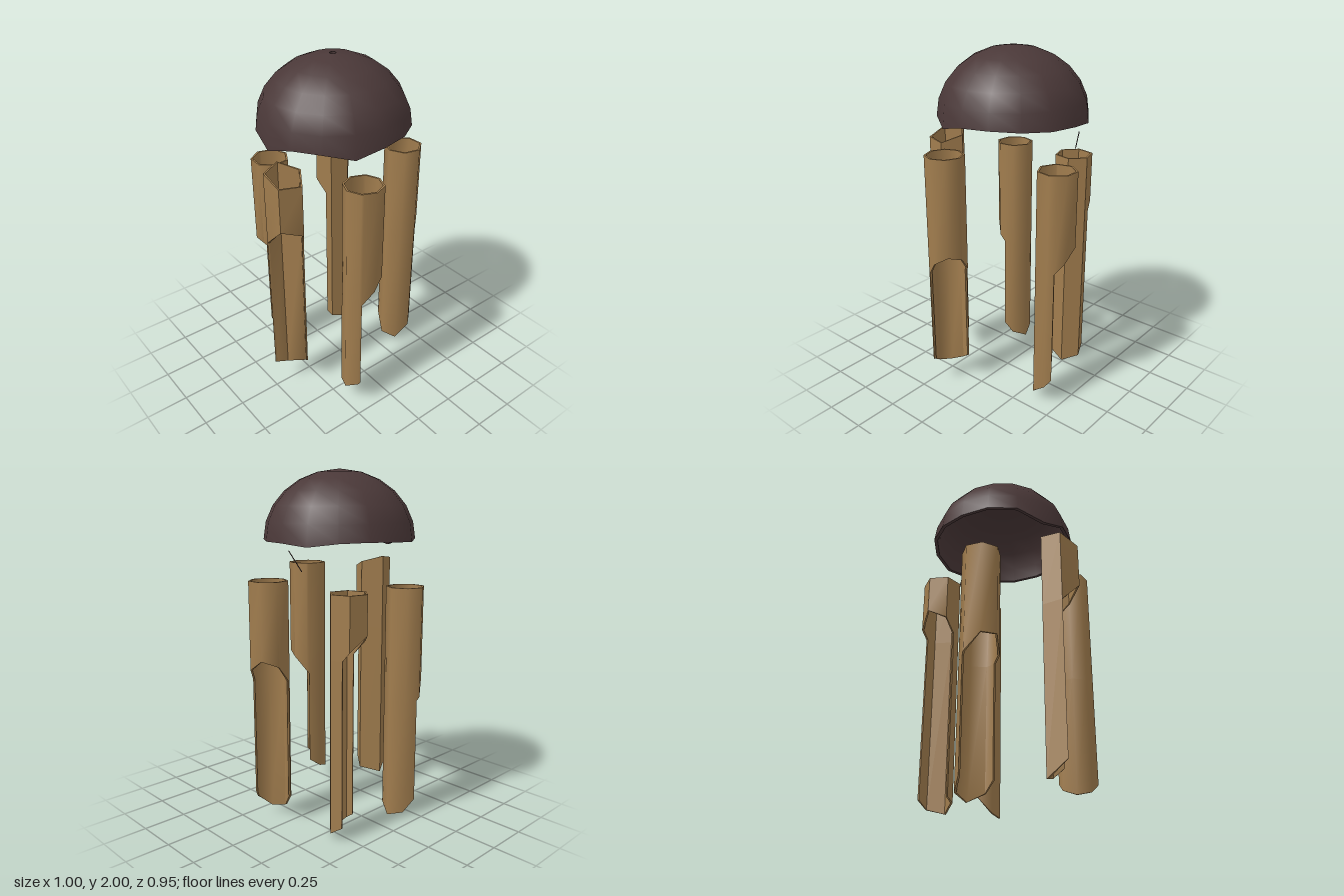
import * as THREE from 'three';
import { toCreasedNormals } from 'three/addons/utils/BufferGeometryUtils.js';

const RAD = Math.PI / 180;

// Thin curved wall through a row of points { o, i, top, bot }: o and i are outer and inner [x, z]
function addWall(out, pts, closed, topRim, bottomRim) {
  const quad = (a, b, c, d) => out.push(...a, ...b, ...c, ...a, ...c, ...d);
  const at = (p, side, end) => [p[side][0], p[end], p[side][1]];
  const count = closed ? pts.length : pts.length - 1;
  for (let k = 0; k < count; k++) {
    const p = pts[k], q = pts[(k + 1) % pts.length];
    quad(at(q, 'o', 'bot'), at(p, 'o', 'bot'), at(p, 'o', 'top'), at(q, 'o', 'top'));
    quad(at(p, 'i', 'bot'), at(q, 'i', 'bot'), at(q, 'i', 'top'), at(p, 'i', 'top'));
    if (topRim) quad(at(p, 'o', 'top'), at(p, 'i', 'top'), at(q, 'i', 'top'), at(q, 'o', 'top'));
    if (bottomRim) quad(at(q, 'o', 'bot'), at(q, 'i', 'bot'), at(p, 'i', 'bot'), at(p, 'o', 'bot'));
  }
  if (!closed) {
    const s = pts[0], e = pts[pts.length - 1];
    quad(at(s, 'o', 'bot'), at(s, 'i', 'bot'), at(s, 'i', 'top'), at(s, 'o', 'top'));
    quad(at(e, 'i', 'bot'), at(e, 'o', 'bot'), at(e, 'o', 'top'), at(e, 'i', 'top'));
  }
}

// Hollow cane: a full tube above, half of it cut away below on the side facing the angle "cut"
function caneGeometry({ x, z, sides, start, cut, top, tilt = 0, cutY, low, rise }) {
  const R = 0.11, drop = 0.13, step = 360 / sides;
  const wrap = (a, m) => ((a % m) + m) % m;

  // Polygon corners plus the two points where the cut plane meets the wall
  const angles = [90, 270];
  for (let k = 0; k < sides; k++) {
    const a = wrap(start + k * step - cut, 360);
    if (Math.abs(a - 90) > 3 && Math.abs(a - 270) > 3) angles.push(a);
  }
  angles.sort((a, b) => a - b);
  const ring = angles.map((rel) => {
    const a = rel + cut;
    const r = R * Math.cos(step / 2 * RAD) / Math.cos((wrap(a - start, step) - step / 2) * RAD);
    const dx = Math.cos(a * RAD) * r, dz = Math.sin(a * RAD) * r;
    return {
      rel, d: r * Math.cos(rel * RAD) / R, dz,
      o: [x + dx, z + dz], i: [x + dx * 0.9, z + dz * 0.9],
    };
  });

  const upper = ring.map((p) => ({
    ...p, top: top - tilt * p.dz / R, bot: cutY - drop * (1 - Math.max(p.d, 0)),
  }));
  const lower = ring.filter((p) => p.rel >= 90 && p.rel <= 270).map((p) => ({
    ...p, top: cutY - drop, bot: low + rise * Math.max(0, 1 + p.d),
  }));

  const out = [];
  addWall(out, upper, true, true, true);
  addWall(out, lower, false, false, true);
  const geo = new THREE.BufferGeometry();
  geo.setAttribute('position', new THREE.Float32BufferAttribute(out, 3));
  return toCreasedNormals(geo, 1.0);
}

// Hollow half shell with a small hole on top and a chipped lower edge
function shellGeometry() {
  const SEG = 16, base = 1.62, arc = [];
  const curve = (r, h, from, to) => {
    for (let k = 0; k <= 6; k++) {
      const t = from + (to - from) * k / 6;
      arc.push(new THREE.Vector2(Math.cos(t) * r, base + Math.sin(t) * h));
    }
  };
  curve(0.425, 0.38, 0, 1.53);
  curve(0.405, 0.36, 1.53, 0);
  arc.push(arc[0].clone());
  const geo = new THREE.LatheGeometry(arc, SEG);
  const chips = [0, 0.005, 0, -0.005, -0.005, -0.02, 0, 0.005, 0, -0.005, 0.005, 0, -0.05, 0, 0, -0.035];
  const pos = geo.attributes.position;
  for (let k = 0; k < pos.count; k++) {
    if (pos.getY(k) > base + 0.001) continue;
    const idx = Math.round(Math.atan2(pos.getX(k), pos.getZ(k)) / (2 * Math.PI) * SEG);
    pos.setY(k, base + chips[(idx + SEG) % SEG]);
  }
  return toCreasedNormals(geo, 0.8);
}

export function createModel() {
  const shellBrown = new THREE.MeshStandardMaterial({ color: 0x4a3838 });
  shellBrown.name = 'shell brown';
  const caneTan = new THREE.MeshStandardMaterial({ color: 0xa17d4e });
  caneTan.name = 'cane tan';

  const group = new THREE.Group();
  group.name = 'windChime';
  const add = (name, geo, mat) => {
    const mesh = new THREE.Mesh(geo, mat);
    mesh.name = name;
    group.add(mesh);
    return mesh;
  };

  add('shellDome', shellGeometry(), shellBrown).position.set(-0.003, 0, -0.053);

  // Five hanging canes
  const canes = {
    frontCane: { x: -0.135, z: 0.365, sides: 8, start: 0, cut: 38, top: 1.455, cutY: 0.89, low: 0.1, rise: 0.08 },
    leftCane: { x: 0.405, z: 0.08, sides: 7, start: -27, cut: -35, top: 1.41, cutY: 0.98, low: 0.04, rise: 0.13 },
    backLeftCane: { x: 0.215, z: -0.345, sides: 6, start: 252, cut: -116, top: 1.365, cutY: 1.15, low: 0.01, rise: 0.07 },
    backRightCane: { x: -0.235, z: -0.35, sides: 7, start: 210, cut: 180, top: 1.36, cutY: 0.84, low: 0, rise: 0.1 },
    rightCane: { x: -0.41, z: 0.06, sides: 5, start: 140, cut: 124, top: 1.465, tilt: 0.035, cutY: 1.19, low: 0.1, rise: 0.09 },
  };
  for (const [name, spec] of Object.entries(canes)) add(name, caneGeometry(spec), caneTan);

  // Short piece of cord above the left canes
  const cord = new THREE.LineCurve3(new THREE.Vector3(0.41, 1.58, -0.1), new THREE.Vector3(0.36, 1.47, -0.145));
  add('cord', new THREE.TubeGeometry(cord, 1, 0.003, 4), shellBrown);

  return group;
}
